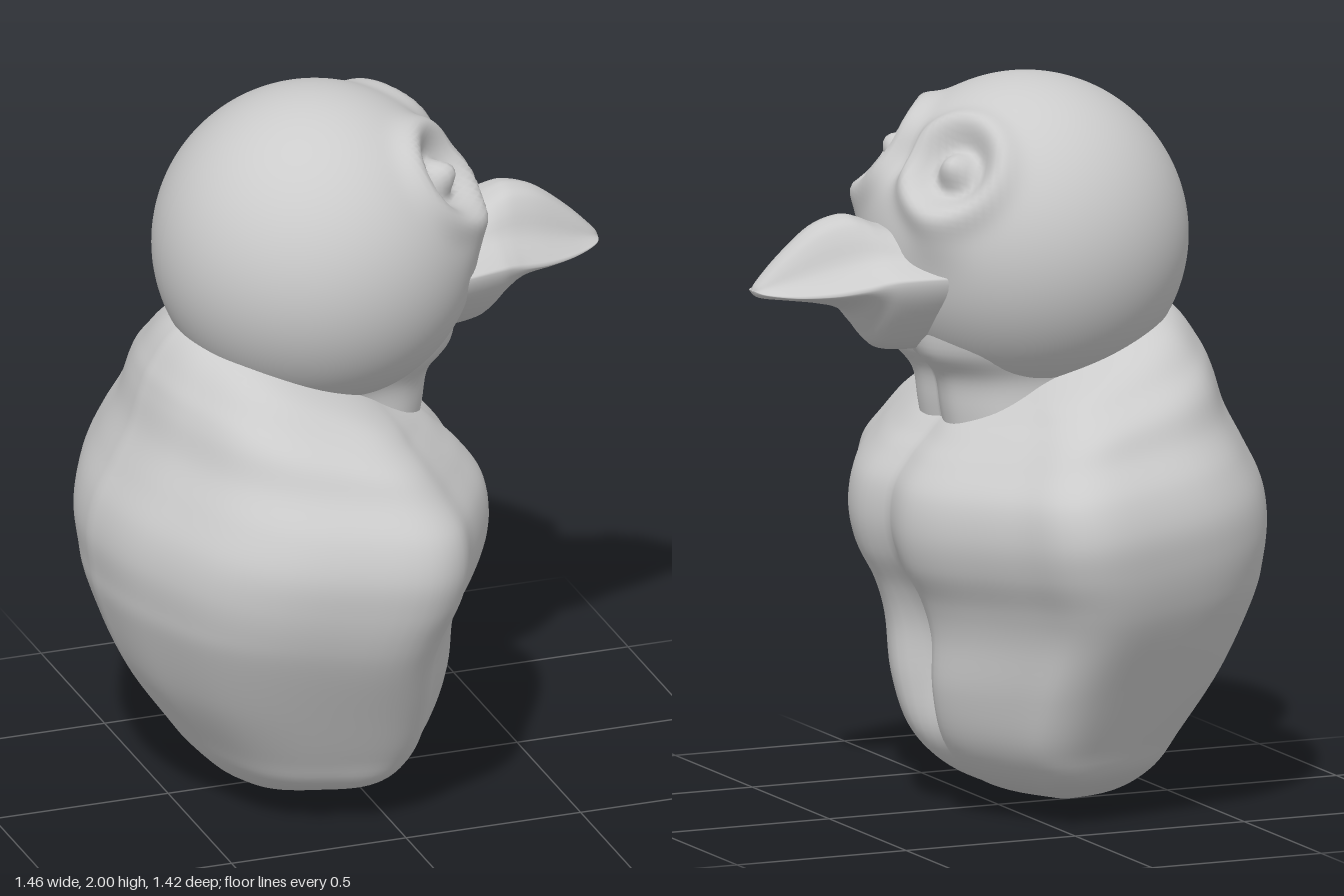
import * as THREE from 'three';

const material = new THREE.MeshStandardMaterial({ color: 0xcccccc, side: THREE.DoubleSide });

// Smooth interpolation through the rows of a small table, t in 0..1
function sample(table, t) {
  const s = t * (table.length - 1);
  const i = Math.min(Math.floor(s), table.length - 2);
  const f = s - i;
  const row = (k) => table[Math.max(0, Math.min(table.length - 1, k))];
  return table[i].map((b, c) => {
    const a = row(i - 1)[c], d = row(i + 1)[c], e = row(i + 2)[c];
    return b + 0.5 * f * (d - a + f * (2 * a - 5 * b + 4 * d - e + f * (3 * (b - d) + e - a)));
  });
}

// Tube-like surface: point(u, v) with v wrapping around each ring
function loft(name, rings, sides, point) {
  const positions = [], index = [];
  for (let i = 0; i <= rings; i++) {
    for (let j = 0; j < sides; j++) {
      positions.push(...point(i / rings, j / sides));
      if (i === rings) continue;
      const k = (j + 1) % sides, a = i * sides, b = a + sides;
      index.push(a + j, a + k, b + k, a + j, b + k, b + j);
    }
  }
  const geometry = new THREE.BufferGeometry();
  geometry.setAttribute('position', new THREE.Float32BufferAttribute(positions, 3));
  geometry.setIndex(index);
  geometry.computeVertexNormals();
  const mesh = new THREE.Mesh(geometry, material);
  mesh.name = name;
  return mesh;
}

// Half outline read at v, mirrored for the other side
function mirrored(half, v) {
  const [a, b] = sample(half, v <= 0.5 ? v * 2 : 2 - v * 2);
  return [a, v <= 0.5 ? b : -b];
}

const bump = (d, size) => Math.exp(-(d * d) / (size * size));

// Tilted rings: back x, back y, front x, front y, half width
const bodyRings = [
  [-0.20, 0.00, -0.20, 0.00, 0.00],
  [-0.34, 0.05, 0.00, 0.05, 0.22],
  [-0.43, 0.13, 0.12, 0.11, 0.38],
  [-0.50, 0.22, 0.21, 0.21, 0.45],
  [-0.62, 0.40, 0.25, 0.35, 0.535],
  [-0.70, 0.60, 0.255, 0.50, 0.625],
  [-0.72, 0.70, 0.28, 0.60, 0.67],
  [-0.73, 0.80, 0.33, 0.70, 0.70],
  [-0.71, 0.90, 0.35, 0.80, 0.71],
  [-0.66, 1.00, 0.335, 0.90, 0.68],
  [-0.61, 1.10, 0.28, 0.98, 0.61],
  [-0.58, 1.20, 0.23, 1.03, 0.56],
  [-0.55, 1.27, 0.19, 1.07, 0.49],
  [-0.48, 1.36, 0.15, 1.10, 0.40],
  [-0.35, 1.42, 0.08, 1.14, 0.22],
];
// Plan of the body from back to breast: rounded back, wide wings, tapering front
const bodyPlan = [
  [-1, 0], [-0.96, 0.22], [-0.87, 0.42], [-0.67, 0.7], [-0.39, 0.87], [0, 0.96], [0.33, 1],
  [0.54, 0.93], [0.67, 0.76], [0.81, 0.58], [0.95, 0.37], [1, 0.19], [0.95, 0],
];

const neckRings = [
  [-0.35, 0.95, 0.16, 0.95, 0.28],
  [-0.40, 1.10, 0.19, 1.10, 0.27],
  [-0.42, 1.20, 0.21, 1.20, 0.27],
  [-0.44, 1.29, 0.27, 1.28, 0.30],
  [-0.40, 1.40, 0.28, 1.38, 0.32],
];
const neckPlan = [
  [-1, 0], [-0.9, 0.45], [-0.6, 0.8], [-0.1, 1], [0.35, 0.94], [0.7, 0.8], [0.95, 0.5], [1, 0.25], [0.94, 0],
];

function torso(name, table, plan, rings) {
  return loft(name, rings, 96, (u, v) => {
    const [bx, by, fx, fy, w] = sample(table, u);
    const [p, q] = mirrored(plan, v);
    const f = (p + 1) / 2;
    const y = by + (fy - by) * f;
    let x = bx + (fx - bx) * f;
    // groove down the middle of the belly
    if (p > 0 && table === bodyRings) x -= 0.08 * bump(q * w, 0.07) * bump(y - 0.4, 0.2);
    return [x, y, q * w];
  });
}

// Beak sections along x: top, mouth line, bottom, half width
const beakSections = [
  [0.15, 1.58, 1.50, 1.28, 0.28],
  [0.27, 1.60, 1.505, 1.27, 0.265],
  [0.37, 1.625, 1.50, 1.285, 0.235],
  [0.42, 1.645, 1.49, 1.34, 0.21],
  [0.47, 1.655, 1.475, 1.395, 0.185],
  [0.55, 1.63, 1.46, 1.42, 0.15],
  [0.64, 1.56, 1.455, 1.435, 0.105],
  [0.71, 1.49, 1.46, 1.445, 0.055],
  [0.727, 1.467, 1.465, 1.463, 0.004],
];
// Half section: height (1 top, 0 mouth, -1 bottom) and width
const beakOutline = [
  [1, 0], [0.93, 0.27], [0.7, 0.44], [0.35, 0.6], [0.1, 0.9], [0, 1], [-0.25, 0.92], [-0.6, 0.65], [-0.9, 0.3], [-1, 0],
];

function beak() {
  return loft('beak', 40, 64, (u, v) => {
    const [x, top, mouth, bottom, w] = sample(beakSections, u);
    const [h, q] = mirrored(beakOutline, v);
    return [x, mouth + h * (h > 0 ? top - mouth : mouth - bottom), q * w];
  });
}

// Round head with brow ridges, eye sockets, eyes and cheeks
function head() {
  const geometry = new THREE.SphereGeometry(0.44, 128, 96);
  const pos = geometry.attributes.position;
  const p = new THREE.Vector3(), m = new THREE.Vector3();
  const eye = new THREE.Vector3(0.31, 0.24, 0.2).setLength(0.44);
  const cheek = new THREE.Vector3(0.36, 0.07, 0.23).setLength(0.44);
  const browMiddle = new THREE.Vector3(0.36, 0.24, 0).setLength(0.44);
  for (let i = 0; i < pos.count; i++) {
    p.fromBufferAttribute(pos, i);
    m.set(p.x, p.y, Math.abs(p.z));
    const d = m.distanceTo(eye);
    const rise = 0.03 * bump(d - 0.14, 0.045) - 0.04 * bump(d - 0.075, 0.04)
      + 0.02 * bump(d, 0.045) + 0.025 * bump(m.distanceTo(cheek), 0.08)
      - 0.03 * bump(m.distanceTo(browMiddle), 0.07);
    p.setLength(0.44 + rise);
    pos.setXYZ(i, p.x, p.y, p.z);
  }
  // smooth the seam by building normals on the displaced surface
  geometry.computeVertexNormals();
  const mesh = new THREE.Mesh(geometry, material);
  mesh.name = 'head';
  mesh.position.set(-0.08, 1.56, 0);
  return mesh;
}

export function createModel() {
  const bird = new THREE.Group();
  bird.name = 'bird';
  bird.add(
    torso('body', bodyRings, bodyPlan, 84),
    torso('neck', neckRings, neckPlan, 24),
    head(),
    beak(),
  );
  return bird;
}
